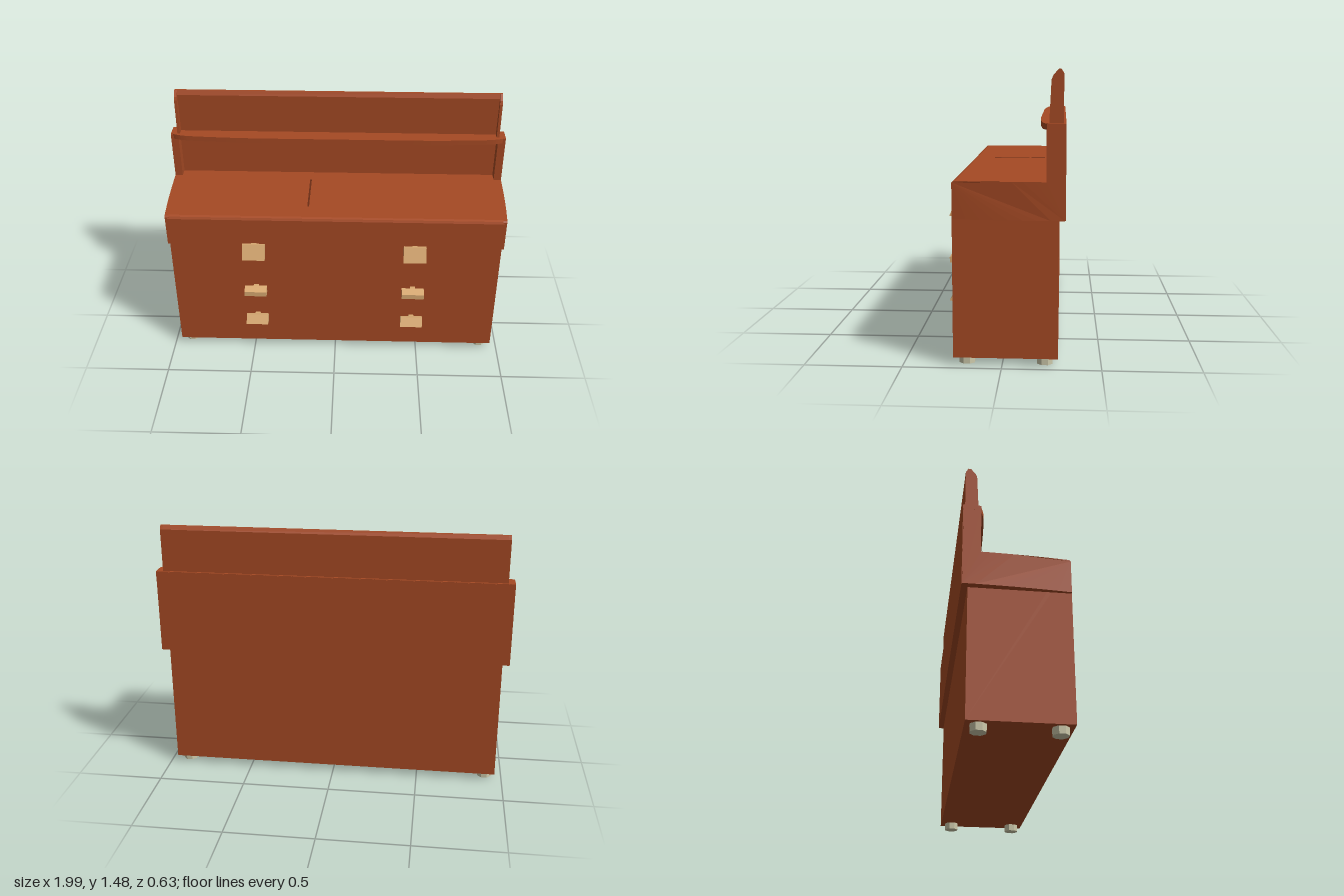
import * as THREE from 'three';

const wood = new THREE.MeshStandardMaterial({ color: 0xa64a24 });
wood.name = 'red brown wood';
const tan = new THREE.MeshStandardMaterial({ color: 0xd9aa72 });
tan.name = 'tan handle';
const cream = new THREE.MeshStandardMaterial({ color: 0xcfcbac });
cream.name = 'cream foot';
const dark = new THREE.MeshStandardMaterial({ color: 0x6b2c14 });
dark.name = 'dark groove';

// Extrude a [z, y] outline along x, centred on cx
function profile(points, width, cx = 0) {
  const shape = new THREE.Shape(points.map(([z, y]) => new THREE.Vector2(z, y)));
  const geo = new THREE.ExtrudeGeometry(shape, { depth: width, bevelEnabled: false });
  geo.translate(0, 0, -width / 2).rotateY(-Math.PI / 2).translate(cx, 0, 0);
  return geo;
}

function box(x0, x1, y0, y1, z0, z1) {
  return new THREE.BoxGeometry(x1 - x0, y1 - y0, z1 - z0)
    .translate((x0 + x1) / 2, (y0 + y1) / 2, (z0 + z1) / 2);
}

export function createModel() {
  const model = new THREE.Group();
  model.name = 'dresser';
  const add = (name, geo, mat, parent = model) => {
    const mesh = new THREE.Mesh(geo, mat);
    mesh.name = name;
    parent.add(mesh);
    return mesh;
  };

  // Chest with a softened front top edge
  add('chestBody', profile([
    [-0.282, 0.04], [0.247, 0.04], [0.247, 0.922], [0.241, 0.935], [0.228, 0.94], [-0.282, 0.94],
  ], 1.915), wood);

  // Thin groove on the worktop
  add('worktopGroove', box(-0.165, -0.155, 0.939, 0.942, -0.19, 0.12), dark);

  // L-shaped side panels, bowed inwards towards the front
  const steps = 8;
  const outline = [];
  for (let i = 0; i <= steps; i++) outline.push([-0.312 + 0.557 * i / steps, 0.75]);
  outline.push([0.245, 0.932], [0.238, 0.94]);
  for (let i = 1; i <= steps; i++) outline.push([0.238 - 0.458 * i / steps, 0.94]);
  outline.push([-0.22, 1.22], [-0.312, 1.22]);
  for (const s of [-1, 1]) {
    const geo = profile(outline, 0.045, s * 0.9725);
    const p = geo.attributes.position;
    for (let i = 0; i < p.count; i++) {
      if (Math.abs(p.getX(i)) < 0.97) continue;
      const t = (p.getZ(i) + 0.312) / 0.557;
      p.setX(i, s * (0.995 - 0.024 * t * t));
    }
    geo.computeVertexNormals();
    add(s > 0 ? 'leftSidePanel' : 'rightSidePanel', geo, wood);
  }

  // Back wall behind the open niche
  add('backPanel', box(-0.99, 0.99, 0.75, 1.219, -0.315, -0.28), wood);

  // Shelf with a bowed front edge
  const shelf = new THREE.Shape();
  shelf.moveTo(-0.995, 0.314);
  shelf.lineTo(-0.995, 0.23);
  shelf.quadraticCurveTo(-0.96, 0.205, -0.88, 0.197);
  shelf.quadraticCurveTo(-0.65, 0.18, -0.45, 0.179);
  shelf.lineTo(0.45, 0.179);
  shelf.quadraticCurveTo(0.65, 0.18, 0.88, 0.197);
  shelf.quadraticCurveTo(0.96, 0.205, 0.995, 0.23);
  shelf.lineTo(0.995, 0.314);
  add('shelf', new THREE.ExtrudeGeometry(shelf, {
    depth: 0.03, bevelEnabled: false, curveSegments: 8,
  }).rotateX(-Math.PI / 2).translate(0, 1.192, 0), wood);

  // Upper backboard with a chamfered ridge and thicker end pieces
  add('backboard', profile([
    [-0.302, 1.2], [-0.272, 1.2], [-0.266, 1.455], [-0.278, 1.482], [-0.288, 1.482], [-0.302, 1.46],
  ], 1.9), wood);
  for (const s of [-1, 1]) {
    add(s > 0 ? 'leftBackboardEnd' : 'rightBackboardEnd', profile([
      [-0.302, 1.2], [-0.23, 1.2], [-0.241, 1.43], [-0.248, 1.45], [-0.275, 1.482],
      [-0.288, 1.482], [-0.302, 1.46],
    ], 0.016, s * 0.949), wood);
  }

  // Three rows of handles: grip outline and the height of the stem
  const rows = [
    ['topHandle', [[0.282, 0.688], [0.316, 0.69], [0.28, 0.775], [0.262, 0.772], [0.256, 0.75]], 0.72, 0.765],
    ['middleHandle', [[0.268, 0.432], [0.316, 0.43], [0.316, 0.46], [0.27, 0.475]], 0.435, 0.47],
    ['bottomHandle', [[0.276, 0.206], [0.318, 0.217], [0.286, 0.267], [0.268, 0.263], [0.26, 0.25]], 0.23, 0.257],
  ];
  for (const [name, points, y0, y1] of rows) {
    for (const x of [-0.47, 0.46]) {
      const handle = new THREE.Group();
      handle.name = name;
      model.add(handle);
      add('grip', profile(points, 0.13, x), tan, handle);
      add('stem', box(x - 0.015, x + 0.015, y0, y1, 0.24, 0.278), tan, handle);
    }
  }

  // Four chamfered feet
  for (const x of [-0.9, 0.895]) {
    for (const z of [-0.215, 0.18]) {
      const geo = new THREE.CylinderGeometry(0.044, 0.042, 0.045, 8).toNonIndexed();
      geo.rotateY(Math.PI / 8).computeVertexNormals();
      add('foot', geo.translate(x, 0.0225, z), cream);
    }
  }
  return model;
}
